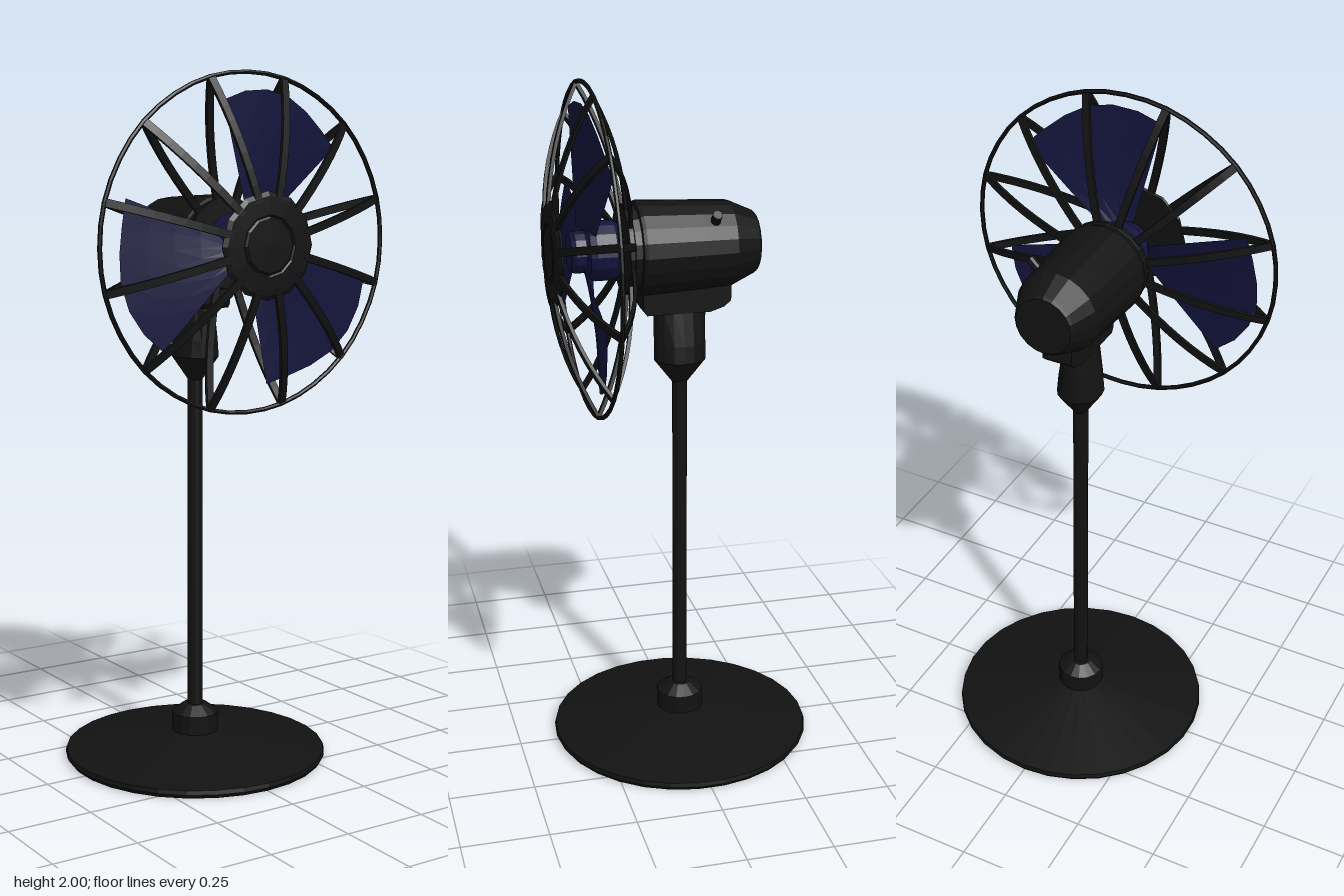
import * as THREE from 'three';

const black = new THREE.MeshStandardMaterial({ color: 0x121212, flatShading: true, side: THREE.DoubleSide });
const blue = new THREE.MeshStandardMaterial({ color: 0x14143d, flatShading: true, side: THREE.DoubleSide });
const FAN_Y = 1.532, RING_Z = 0.265, RING_R = 0.463;

function add(parent, name, geometry, material = black) {
  const mesh = new THREE.Mesh(geometry, material);
  mesh.name = name;
  parent.add(mesh);
  return mesh;
}

// Turned part: points are [radius, height], listed from bottom to top
function turned(points, sides) {
  return new THREE.LatheGeometry(points.map(([r, h]) => new THREE.Vector2(r, h)), sides);
}
// The same, with its axis along z
const turnedZ = (points, sides) => turned(points, sides).rotateX(Math.PI / 2);

// Curved flat bar in the radius/z plane, extruded to its width
function wireGeometry(start, control, end, width, depth) {
  const curve = new THREE.QuadraticBezierCurve(
    new THREE.Vector2(...start), new THREE.Vector2(...control), new THREE.Vector2(...end));
  const outer = [], inner = [];
  for (let i = 0; i <= 8; i++) {
    const p = curve.getPoint(i / 8), t = curve.getTangent(i / 8);
    const n = new THREE.Vector2(-t.y, t.x).multiplyScalar(depth / 2);
    outer.push(p.clone().add(n));
    inner.unshift(p.clone().sub(n));
  }
  const g = new THREE.ExtrudeGeometry(new THREE.Shape([...outer, ...inner]), { depth: width, bevelEnabled: false });
  return g.translate(0, 0, -width / 2).rotateX(Math.PI / 2);
}

// Pitched sector blade: a plane bent into polar coordinates
function bladeGeometry() {
  const g = new THREE.PlaneGeometry(1, 1, 6, 4);
  const p = g.attributes.position;
  for (let i = 0; i < p.count; i++) {
    const u = p.getX(i) + 0.5, v = p.getY(i) + 0.5;
    const angle = THREE.MathUtils.degToRad(104 - 63 * u);
    const tip = 0.4 + 0.022 * Math.sin(Math.PI * Math.min(1, u * 1.3));
    const r = THREE.MathUtils.lerp(0.07, tip, v);
    const z = 0.272 + (0.5 - u) * 0.04 + 0.006 * Math.sin(Math.PI * u);
    p.setXYZ(i, r * Math.cos(angle), r * Math.sin(angle), z);
  }
  g.computeVertexNormals();
  return g;
}

export function createModel() {
  const model = new THREE.Group();
  model.name = 'pedestalFan';

  // Stand
  add(model, 'base', turned([[0, 0], [0.38, 0], [0.388, 0.012], [0.385, 0.024], [0.07, 0.075], [0, 0.075]], 30));
  add(model, 'baseCollar', turned([[0.07, 0.06], [0.07, 0.13], [0.035, 0.155], [0, 0.155]], 16));
  add(model, 'pole', new THREE.CylinderGeometry(0.022, 0.022, 1.06, 12).translate(0, 0.66, 0));

  // Neck, narrowing sideways toward the motor
  const neck = turned([[0.022, 1.13], [0.076, 1.2], [0.076, 1.25], [0.076, 1.35], [0.076, 1.44]], 16);
  const np = neck.attributes.position;
  for (let i = 0; i < np.count; i++) {
    const k = THREE.MathUtils.clamp((np.getY(i) - 1.22) / 0.13, 0, 1);
    np.setX(i, np.getX(i) * (0.87 - 0.3 * k));
  }
  neck.computeVertexNormals();
  add(model, 'neck', neck);

  // Bracket: side profile with x as depth, turned to run along z
  const profile = [[-0.14, 1.45], [-0.14, 1.375], [-0.12, 1.358], [-0.08, 1.345], [0.105, 1.345], [0.115, 1.36], [0.115, 1.45]];
  const bracket = new THREE.ExtrudeGeometry(
    new THREE.Shape(profile.map(([z, y]) => new THREE.Vector2(z, y))), { depth: 0.09, bevelEnabled: false });
  add(model, 'bracket', bracket.translate(0, 0, -0.045).rotateY(-Math.PI / 2));

  // Head: everything centred on the fan axis
  const head = new THREE.Group();
  head.name = 'head';
  head.position.y = FAN_Y;
  model.add(head);
  add(head, 'motorHousing', turnedZ([
    [0, -0.217], [0.083, -0.217], [0.09, -0.21], [0.122, -0.14], [0.127, -0.05], [0.135, 0.12],
    [0.132, 0.13], [0.122, 0.132], [0.122, 0.152], [0.128, 0.155], [0.128, 0.168], [0, 0.168]], 20));
  const knob = add(head, 'oscillationKnob', new THREE.CylinderGeometry(0.014, 0.014, 0.06, 10));
  knob.position.set(0.092, 0.088, -0.08);
  knob.rotation.z = -Math.PI / 4;
  add(head, 'shaft', new THREE.CylinderGeometry(0.02, 0.02, 0.06, 10).rotateX(Math.PI / 2).translate(0, 0, 0.18));

  // Propeller
  const propeller = new THREE.Group();
  propeller.name = 'propeller';
  head.add(propeller);
  add(propeller, 'hub', turnedZ([
    [0, 0.18], [0.075, 0.18], [0.085, 0.195], [0.085, 0.25], [0.078, 0.268],
    [0.06, 0.275], [0.06, 0.305], [0.052, 0.317], [0, 0.317]], 16), blue);
  const blade = bladeGeometry();
  for (let i = 0; i < 3; i++) add(propeller, 'blade', blade, blue).rotation.z = i * Math.PI * 2 / 3;

  // Guard: rim, twelve front and rear bars, and a front cap
  const guard = new THREE.Group();
  guard.name = 'guard';
  head.add(guard);
  const barAngles = Array.from({ length: 12 }, (_, i) => (i + 0.5) * Math.PI / 6);
  const rim = new THREE.CatmullRomCurve3(barAngles.map(a =>
    new THREE.Vector3(RING_R * 1.006 * Math.cos(a), RING_R * 1.006 * Math.sin(a), RING_Z)), true);
  add(guard, 'rim', new THREE.TubeGeometry(rim, 48, 0.0065, 6, true));
  const frontBar = wireGeometry([RING_R, RING_Z], [0.31, 0.347], [0.12, 0.367], 0.022, 0.01);
  const rearBar = wireGeometry([RING_R, RING_Z], [0.31, 0.18], [0.11, 0.16], 0.022, 0.01);
  for (const a of barAngles) {
    add(guard, 'frontBar', frontBar).rotation.z = a;
    add(guard, 'rearBar', rearBar).rotation.z = a;
  }
  add(guard, 'frontCap', turnedZ([
    [0, 0.36], [0.145, 0.357], [0.148, 0.363], [0.135, 0.371], [0.085, 0.374], [0.08, 0.37], [0.074, 0.375], [0, 0.377]], 12));

  return model;
}
